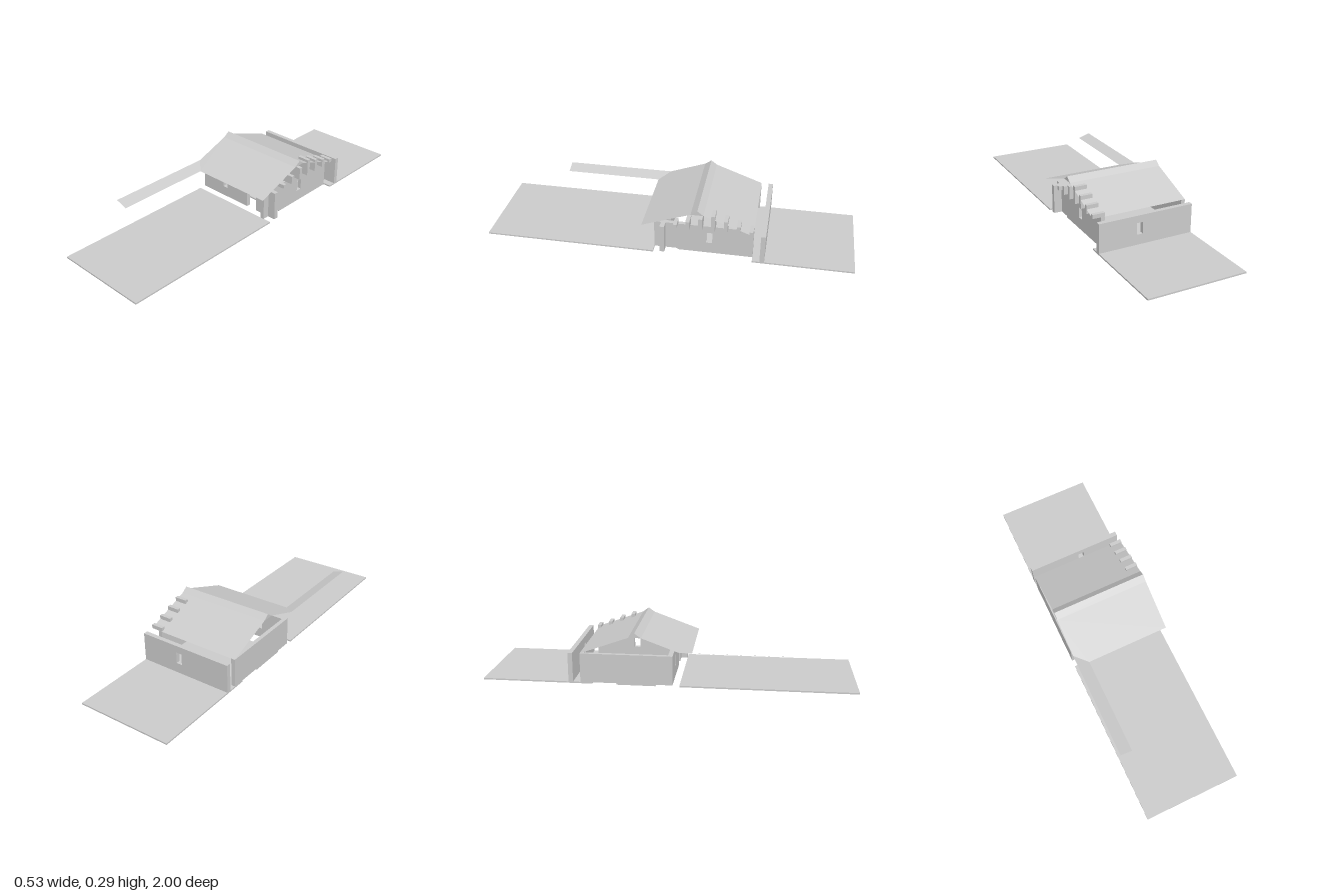
import * as THREE from 'three';

const W = 0.267;      // half width of the plot
const TOP = 0.168;    // wall height and eave height
const FLOOR = 0.008;  // slab thickness

const material = new THREE.MeshStandardMaterial({ color: 0xcccccc, flatShading: true });
const sheet = new THREE.MeshStandardMaterial({ color: 0xcccccc, flatShading: true, side: THREE.DoubleSide });

export function createModel() {
  const model = new THREE.Group();

  const add = (name, geometry, mat = material) => {
    const mesh = new THREE.Mesh(geometry, mat);
    mesh.name = name;
    model.add(mesh);
    return mesh;
  };

  // Box given by its limits on each axis
  const box = (name, x0, x1, y0, y1, z0, z1) =>
    add(name, new THREE.BoxGeometry(x1 - x0, y1 - y0, z1 - z0)
      .translate((x0 + x1) / 2, (y0 + y1) / 2, (z0 + z1) / 2));

  // Thin flat polygon from corner points in order
  const panel = (name, ...points) => {
    const g = new THREE.BufferGeometry();
    g.setAttribute('position', new THREE.Float32BufferAttribute(points.flat(), 3));
    const index = [];
    for (let i = 1; i < points.length - 1; i++) index.push(0, i, i + 1);
    g.setIndex(index);
    g.computeVertexNormals();
    add(name, g, sheet);
  };

  // Upright wall with one window, drawn along its length and extruded
  const windowWall = (name, from, to, centre, thickness) => {
    const rect = (shape, a, b, c, d) => shape.moveTo(a, c).lineTo(b, c).lineTo(b, d).lineTo(a, d).closePath();
    const wall = rect(new THREE.Shape(), from, to, FLOOR, TOP);
    wall.holes.push(rect(new THREE.Path(), centre - 0.017, centre + 0.017, 0.064, 0.128));
    return add(name, new THREE.ExtrudeGeometry(wall, { depth: thickness, bevelEnabled: false }));
  };

  // Ground slabs: the rear one runs under the house with a notch at its edge
  box('frontGround', -W, W, 0, FLOOR, 0.067, 1);
  const ground = new THREE.Shape();
  [[-W, 1], [W, 1], [W, 0.465], [0.222, 0.465], [0.222, 0.06], [-W, 0.06],
    [-W, 0.27], [-0.22, 0.27], [-0.22, 0.4], [-W, 0.4]]
    .forEach(([x, y], i) => (i ? ground.lineTo(x, y) : ground.moveTo(x, y)));
  add('rearGround', new THREE.ExtrudeGeometry(ground, { depth: FLOOR, bevelEnabled: false })
    .rotateX(-Math.PI / 2));

  // Walls
  windowWall('frontWall', -W, 0.067, -0.1, 0.025).position.z = 0.005;
  box('frontWallEnd', 0.133, W, FLOOR, TOP, 0.005, 0.03);
  windowWall('rearWall', -W, W, 0.037, 0.025).position.z = -0.53;
  const side = windowWall('leftWall', -0.067, 0.465, 0.23, 0.022);
  side.rotation.y = Math.PI / 2;
  side.position.x = 0.2;
  box('rightWall', -W, -0.245, FLOOR, TOP, -0.465, 0.005);

  // Stepped fins on the left wall
  for (let i = -3; i <= 3; i++) {
    const z = -0.253 + i * 0.067;
    box('roofFin', 0.2, W, TOP, 0.263 - Math.abs(i) * 0.0245, z - 0.01, z + 0.01);
  }

  // Front roof slope, with the lower right corner cut along the valley
  panel('frontRoof', [-W, 0.263, -0.135], [-W, 0.19, 0.065], [-0.2, TOP, 0.127],
    [W, TOP, 0.127], [W, 0.263, -0.135]);

  // Rear roof slope, with tongues between the fins
  const rearY = z => 0.263 - (-0.203 - z) * (0.095 / 0.262);
  const rearPanel = (name, x0, x1, z0, z1) => panel(name,
    [x0, rearY(z0), z0], [x1, rearY(z0), z0], [x1, rearY(z1), z1], [x0, rearY(z1), z1]);
  rearPanel('rearRoof', -W, 0.2, -0.203, -0.465);
  for (let i = 0; i < 4; i++) {
    const z = -0.243 - i * 0.067;
    rearPanel('rearRoofTongue', 0.2, W, z + (i ? 0.047 : 0.04), z);
  }

  // Ridge cap
  const cap = new THREE.Shape();
  cap.moveTo(0.135, 0.263).lineTo(0.203, 0.263).lineTo(0.17, 0.288).closePath();
  const ridge = add('ridgeCap', new THREE.ExtrudeGeometry(cap, { depth: 2 * W, bevelEnabled: false }));
  ridge.rotation.y = Math.PI / 2;
  ridge.position.x = -W;

  // Long sloping canopy running forward from the valley
  panel('canopy', [-W, 0.19, 0.065], [-W, 0.19, 0.663], [-0.2, TOP, 0.663], [-0.2, TOP, 0.127]);

  return model;
}
